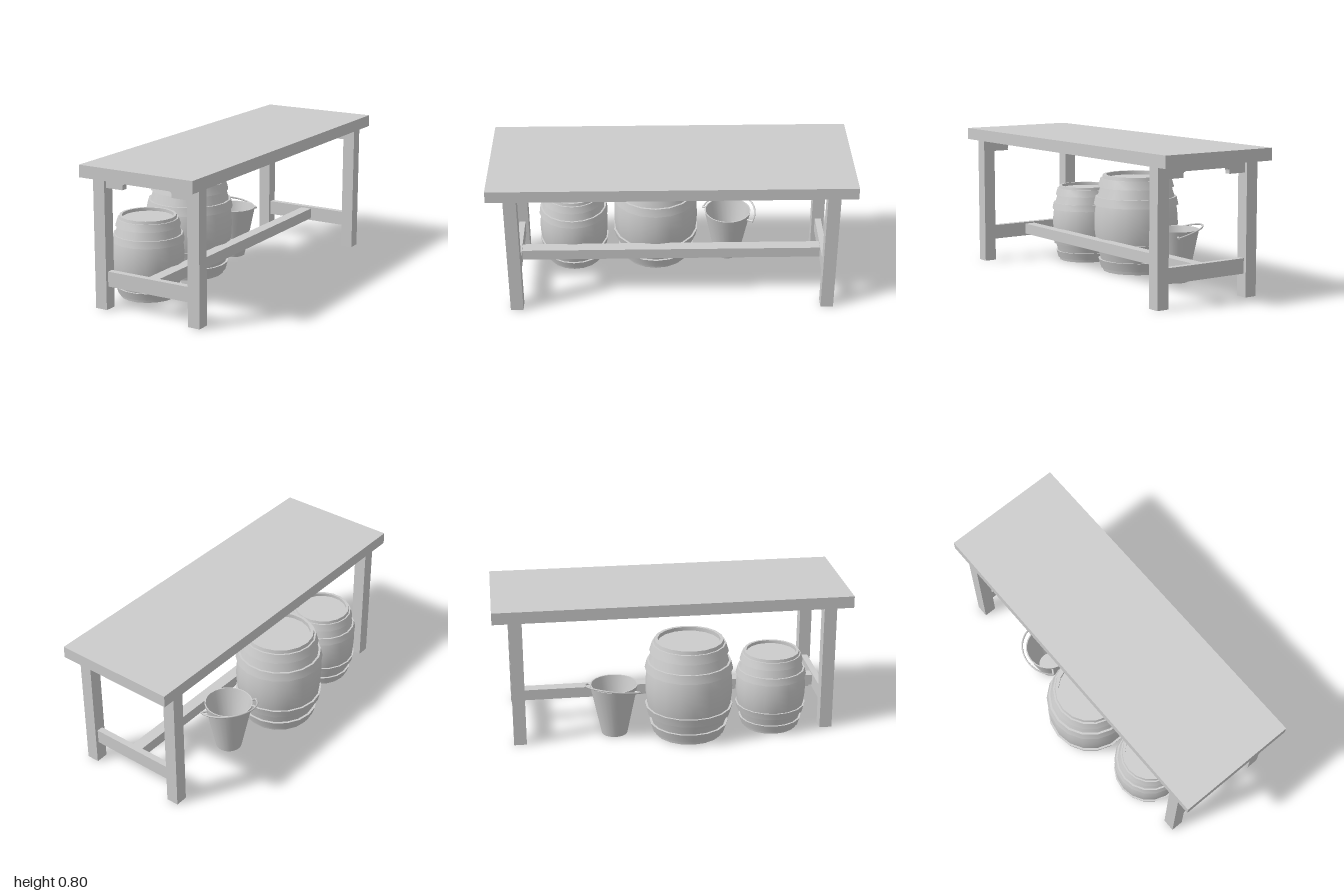
import * as THREE from 'three';
import { toCreasedNormals } from 'three/addons/utils/BufferGeometryUtils.js';

const material = new THREE.MeshStandardMaterial({ color: 0xcccccc });

function add(parent, name, geometry, x = 0, y = 0, z = 0) {
  const mesh = new THREE.Mesh(geometry, material);
  mesh.name = name;
  mesh.position.set(x, y, z);
  parent.add(mesh);
  return mesh;
}

// Turned shape from [radius, height] pairs, outside listed from bottom to top
function turned(profile, segments) {
  const points = profile.map(([r, y]) => new THREE.Vector2(r, y));
  return toCreasedNormals(new THREE.LatheGeometry(points, segments, Math.PI / 2), 0.5);
}

// End apron with a rounded cutout along its lower edge
function apronGeometry(width, depth) {
  const w = width / 2, top = 0.735, low = 0.667, cut = 0.7, c = 0.153, r = 0.02;
  const s = new THREE.Shape();
  s.moveTo(-w, low);
  s.lineTo(-c, low);
  s.lineTo(-c, cut - r);
  s.quadraticCurveTo(-c, cut, -c + r, cut);
  s.lineTo(c - r, cut);
  s.quadraticCurveTo(c, cut, c, cut - r);
  s.lineTo(c, low);
  s.lineTo(w, low);
  s.lineTo(w, top);
  s.lineTo(-w, top);
  s.closePath();
  return new THREE.ExtrudeGeometry(s, { depth, bevelEnabled: false, curveSegments: 5 })
    .translate(0, 0, -depth / 2);
}

function createTable() {
  const table = new THREE.Group();
  table.name = 'table';
  const cx = 0.078;
  add(table, 'tableTop', new THREE.BoxGeometry(0.695, 0.067, 2), cx, 0.768, 0);
  for (const end of [1, -1]) {
    for (const side of [1, -1]) {
      add(table, 'leg', new THREE.BoxGeometry(0.071, 0.735, 0.071), cx + side * 0.292, 0.3675, end * 0.874);
    }
    add(table, 'endRail', new THREE.BoxGeometry(0.514, 0.083, 0.036), cx, 0.1685, end * 0.874);
    add(table, 'apron', apronGeometry(0.514, 0.036), cx, 0, end * 0.874);
  }
  add(table, 'stretcher', new THREE.BoxGeometry(0.066, 0.062, 1.714), cx, 0.17, 0);
  return table;
}

function createBarrel(name, x, z, scale) {
  const barrel = new THREE.Group();
  barrel.name = name;
  const height = 0.565;
  // Lower half of the bulging side, mirrored for the upper half
  const half = [[0.194, 0], [0.209, 0.07], [0.226, 0.127], [0.237, 0.175], [0.244, 0.235]];
  const side = [...half, [0.246, height / 2], ...half.map(([r, y]) => [r, height - y]).reverse()];
  const lip = 0.176, recess = 0.022;
  add(barrel, 'stavesAndLids', turned([
    [0, recess], [lip, recess], [lip, 0], ...side,
    [lip, height], [lip, height - recess], [0, height - recess],
  ], 18));
  // Flared hoops: [low y, low radius, high y, high radius]
  for (const [y0, r0, y1, r1] of [[0.02, 0.208, 0.07, 0.223], [0.127, 0.238, 0.175, 0.249]]) {
    const inner = r0 - 0.02;
    add(barrel, 'hoop', turned([[inner, y0], [r0, y0], [r1, y1], [inner, y1]], 18));
    add(barrel, 'hoop', turned([
      [inner, height - y1], [r1, height - y1], [r0, height - y0], [inner, height - y0],
    ], 18));
  }
  barrel.position.set(x, 0, z);
  barrel.scale.setScalar(scale);
  return barrel;
}

function createBucket(x, z) {
  const bucket = new THREE.Group();
  bucket.name = 'bucket';
  add(bucket, 'bucketBody', turned([
    [0, 0.004], [0.066, 0.004], [0.068, 0], [0.073, 0], [0.135, 0.298], [0.128, 0.298], [0.068, 0.015], [0, 0.015],
  ], 24));

  // Handle folded down against the rim, hung from two pegs
  const handle = new THREE.Group();
  handle.name = 'handle';
  const R = 0.162, tilt = 0.3;
  const arc = [];
  for (let i = 0; i <= 16; i++) {
    const a = Math.PI * i / 16;
    arc.push(new THREE.Vector3(
      R * Math.cos(a), R * Math.sin(a) * Math.sin(tilt), R * Math.sin(a) * Math.cos(tilt)));
  }
  add(handle, 'handleWire', new THREE.TubeGeometry(new THREE.CatmullRomCurve3(arc), 32, 0.005, 6));
  for (const s of [1, -1]) {
    add(handle, 'handlePeg', new THREE.CylinderGeometry(0.006, 0.006, 0.042, 8).rotateZ(Math.PI / 2), s * 0.146, 0, 0);
  }
  handle.position.y = 0.27;
  handle.rotation.y = -Math.PI * 2 / 3;
  bucket.add(handle);
  bucket.position.set(x, 0, z);
  return bucket;
}

export function createModel() {
  const model = new THREE.Group();
  model.name = 'tableWithBarrels';
  model.add(
    createTable(),
    createBarrel('largeBarrel', -0.181, 0.087, 1),
    createBarrel('smallBarrel', -0.142, 0.566, 0.806),
    createBucket(-0.147, -0.335),
  );
  return model;
}
